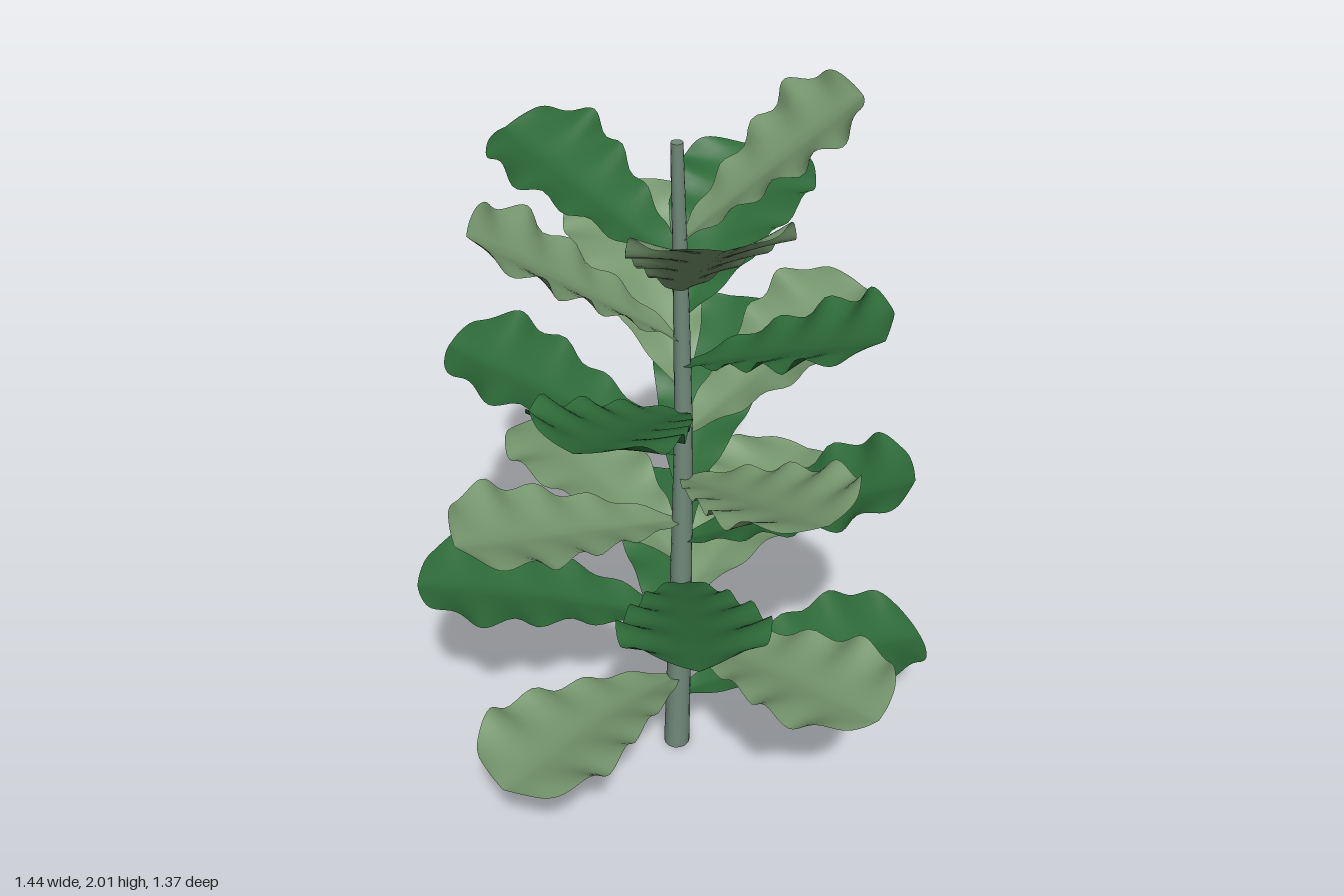
import * as THREE from 'three';

const darkGreen = new THREE.MeshStandardMaterial({ color: 0x2d6a38, side: THREE.DoubleSide });
darkGreen.name = 'dark leaf green';
const paleGreen = new THREE.MeshStandardMaterial({ color: 0x75966d, side: THREE.DoubleSide });
paleGreen.name = 'pale leaf green';
const stemGreen = new THREE.MeshStandardMaterial({ color: 0x71897a });
stemGreen.name = 'grey green stem';

// Leaf tips from the lowest leaf up, spiralling round the stem
const TIPS = [
  [0.72, 0.23, 0.02], [-0.59, 0.39, 0.48], [0.12, 0.45, -0.69], [0.36, 0.53, 0.61],
  [-0.72, 0.66, -0.05], [0.49, 0.65, -0.42], [-0.13, 0.87, 0.68], [-0.3, 0.79, -0.57],
  [0.54, 1.02, 0.28], [-0.63, 0.96, 0.19], [0.27, 1.15, -0.52], [0.2, 1.17, 0.59],
  [-0.56, 1.27, -0.25], [0.52, 1.36, -0.13], [-0.37, 1.39, 0.47], [-0.05, 1.55, -0.51],
  [0.38, 1.53, 0.4], [-0.52, 1.72, 0.02], [0.31, 1.67, -0.37], [-0.03, 1.86, 0.48],
  [-0.37, 1.83, -0.31], [0.41, 1.99, 0.07],
];

// Half outline of a leaf: position along the midrib, half width
const OUTLINE = new THREE.SplineCurve([
  [0, 0.008], [0.1, 0.045], [0.25, 0.09], [0.4, 0.122], [0.55, 0.155], [0.7, 0.185],
  [0.8, 0.188], [0.89, 0.165], [0.96, 0.115], [0.99, 0.055], [1, 0],
].map(([t, w]) => new THREE.Vector2(t, w)));

const stemCurve = new THREE.CatmullRomCurve3([
  new THREE.Vector3(-0.026, 0, 0.03),
  new THREE.Vector3(-0.014, 0.6, 0.032),
  new THREE.Vector3(-0.008, 1.1, 0.034),
  new THREE.Vector3(-0.014, 1.5, 0.036),
  new THREE.Vector3(-0.025, 1.91, 0.042),
]);

// Stem centre at a given height
function stemAt(y) {
  let lo = 0, hi = 1;
  for (let k = 0; k < 20; k++) {
    const mid = (lo + hi) / 2;
    if (stemCurve.getPoint(mid).y < y) lo = mid; else hi = mid;
  }
  return stemCurve.getPoint(lo);
}

// Tapered stem: a cylinder bent along the curve
function makeStem() {
  const geo = new THREE.CylinderGeometry(0.015, 0.037, 1.91, 14, 24);
  geo.translate(0, 0.955, 0);
  const p = geo.attributes.position;
  for (let i = 0; i < p.count; i++) {
    const c = stemAt(p.getY(i));
    p.setXYZ(i, p.getX(i) + c.x, p.getY(i), p.getZ(i) + c.z);
  }
  geo.computeVertexNormals();
  return geo;
}

// Wavy leaf folded along its midrib, from the stem to a tip
function makeLeaf(base, tip, arch, phase) {
  const along = tip.clone().sub(base);
  const side = along.clone().cross(new THREE.Vector3(0, 1, 0)).normalize();
  const up = side.clone().cross(along).normalize();
  const geo = new THREE.PlaneGeometry(2, 1, 12, 48);
  const p = geo.attributes.position;
  const v = new THREE.Vector3();
  for (let i = 0; i < p.count; i++) {
    const s = p.getX(i);
    const { x: t, y: w } = OUTLINE.getPoint(p.getY(i) + 0.5);
    const width = Math.max(w, 0);
    const fold = 0.24 * width * Math.pow(Math.abs(s), 1.15);
    const wave = 0.1 * width * s * s * Math.sin(t * Math.PI * 9.4 + phase + (s > 0 ? 0.9 : 0));
    v.copy(base)
      .addScaledVector(along, t)
      .addScaledVector(side, s * width)
      .addScaledVector(up, arch * 4 * t * (1 - t) + fold + wave);
    p.setXYZ(i, v.x, v.y, v.z);
  }
  geo.computeVertexNormals();
  return geo;
}

export function createModel() {
  const model = new THREE.Group();
  model.name = 'broadLeafPlant';

  const stem = new THREE.Mesh(makeStem(), stemGreen);
  stem.name = 'stem';
  model.add(stem);

  const leaves = new THREE.Group();
  leaves.name = 'leaves';
  TIPS.forEach((tip, i) => {
    const base = stemAt(0.18 + i * 0.07);
    const arch = Math.max(0.004, 0.036 - i * 0.004); // lower leaves droop more
    const geo = makeLeaf(base, new THREE.Vector3(...tip), arch, i * 1.7);
    const leaf = new THREE.Mesh(geo, i % 2 ? paleGreen : darkGreen);
    leaf.name = `leaf${i + 1}`;
    leaves.add(leaf);
  });
  model.add(leaves);
  return model;
}
